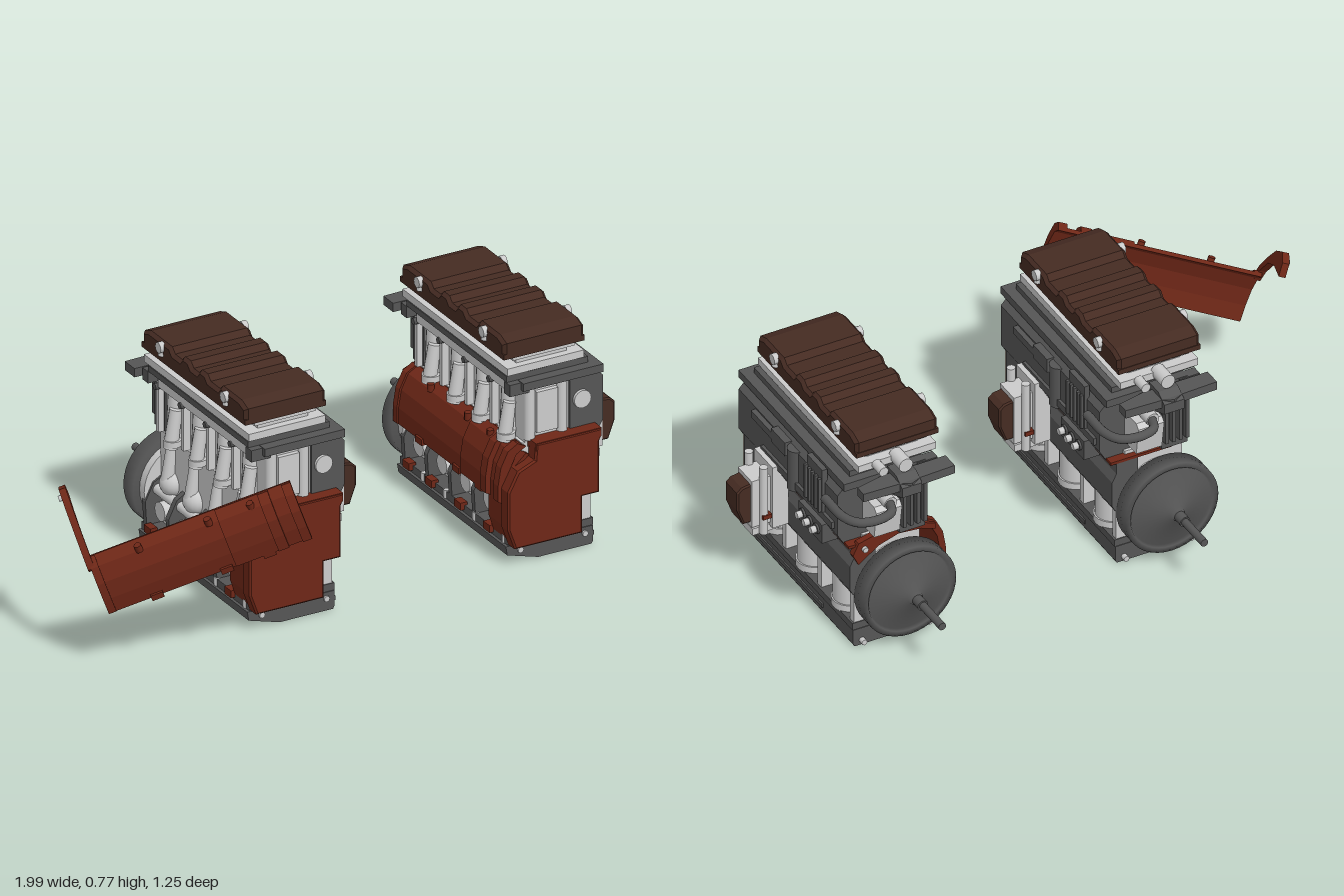
import * as THREE from 'three';

const mat = (color) => new THREE.MeshStandardMaterial({ color, side: THREE.DoubleSide });
const LIGHT = mat(0xcccccc), DARK = mat(0x555555), BROWN = mat(0x452b22), RUST = mat(0x6e2717);

function add(parent, name, geometry, material) {
  const mesh = new THREE.Mesh(geometry, material);
  mesh.name = name;
  parent.add(mesh);
  return mesh;
}

// Box given by its extents
function box(parent, name, m, [x0, x1], [y0, y1], [z0, z1]) {
  const b = add(parent, name, new THREE.BoxGeometry(x1 - x0, y1 - y0, z1 - z0), m);
  b.position.set((x0 + x1) / 2, (y0 + y1) / 2, (z0 + z1) / 2);
}

// Cylinder centred on a point; r0 is the radius at the low end of the axis
function cyl(parent, name, m, axis, [x, y, z], length, r0, r1 = r0, sides = 20) {
  const g = new THREE.CylinderGeometry(r1, r0, length, sides);
  if (axis === 'x') g.rotateZ(-Math.PI / 2);
  if (axis === 'z') g.rotateX(Math.PI / 2);
  const c = add(parent, name, g, m);
  c.position.set(x, y, z);
  return c;
}

// Outline in x,y extruded between two z values
function prism(parent, name, m, points, z0, z1, bevel = 0) {
  const shape = new THREE.Shape(points.map(([x, y]) => new THREE.Vector2(x, y)));
  const g = new THREE.ExtrudeGeometry(shape, {
    depth: z1 - z0 - 2 * bevel, bevelEnabled: bevel > 0, bevelSize: bevel,
    bevelThickness: bevel, bevelOffset: -bevel, bevelSegments: 1,
  });
  g.translate(0, 0, z0 + bevel);
  return add(parent, name, g, m);
}

// Outline in z,y extruded between two x values
function sidePrism(parent, name, m, points, x0, x1, bevel = 0) {
  const p = prism(parent, name, m, points.map(([z, y]) => [-z, y]), x0, x1, bevel);
  p.geometry.rotateY(Math.PI / 2);
}

// Curved side profile as a thin shell, pushed outward by "out"
const SIDE = [[-0.35, 0.4], [-0.385, 0.38], [-0.41, 0.33], [-0.42, 0.27], [-0.42, 0.215]];
function shell(parent, name, z0, z1, out = 0, profile = SIDE) {
  const outer = profile.map(([x, y]) => [x - out, y + out * 0.5]);
  const inner = profile.map(([x, y]) => [x + 0.014, y - 0.008]).reverse();
  prism(parent, name, RUST, [...outer, ...inner], z0, z1);
}

// Removable side cover; the bracket hooks over the flywheel
function sideCover(bracketTilt = 0) {
  const g = new THREE.Group();
  g.name = 'sideCover';
  shell(g, 'coverPanel', -0.36, 0.31);
  for (const [z0, z1, out] of [[-0.36, -0.335, 0.006], [0.06, 0.2, 0.008], [0.2, 0.235, 0.018], [0.28, 0.31, 0.016]]) {
    shell(g, 'coverBand', z0, z1, out);
  }
  for (const z of [-0.2, 0.03, 0.17]) {
    cyl(g, 'coverBolt', RUST, 'y', [-0.383, 0.39, z], 0.025, 0.012, 0.012, 8);
    box(g, 'coverTab', RUST, [-0.428, -0.41], [0.207, 0.228], [z - 0.02, z + 0.02]);
  }
  const bracket = new THREE.Group();
  bracket.name = 'coverBracket';
  bracket.position.set(-0.385, 0.375, -0.35);
  bracket.rotation.z = bracketTilt;
  g.add(bracket);
  prism(bracket, 'bracketArm', RUST, [[0, -0.015], [0.05, 0.004], [0.13, 0.012], [0.2, -0.01], [0.27, -0.06],
    [0.29, -0.02], [0.27, 0.02], [0.2, 0.038], [0.12, 0.034], [0.04, 0.022], [0, 0.006]], -0.02, 0.002);
  cyl(bracket, 'bracketBolt', LIGHT, 'z', [0.25, -0.005, -0.018], 0.025, 0.01, 0.01, 8);
  return g;
}

function topCover(e) {
  // Lid with flat ends and three cross grooves
  const pts = [[-0.34, 0.7], [0.3, 0.7], [0.3, 0.755], [0.26, 0.77]];
  for (const [front, back] of [[0.145, 0.05], [0.015, -0.055], [-0.09, -0.17]]) {
    pts.push([front, 0.77], [front - 0.018, 0.752], [back + 0.018, 0.752], [back, 0.77]);
  }
  pts.push([-0.3, 0.77], [-0.34, 0.755]);
  sidePrism(e, 'topCover', BROWN, pts, -0.41, -0.122, 0.011);
  box(e, 'topCoverRim', BROWN, [-0.41, -0.122], [0.7, 0.718], [-0.342, 0.3]);
  for (const z of [0.18, -0.22]) for (const s of [-1, 1]) {
    const x = -0.265 + s * 0.143;
    cyl(e, 'lidClamp', LIGHT, 'y', [x, 0.742, z], 0.04, 0.013, 0.01, 10);
    cyl(e, 'lidClampHead', LIGHT, 'x', [x + s * 0.005, 0.75, z], 0.018, 0.018, 0.018, 10);
  }
}

function cylinderHead(e) {
  box(e, 'headNeck', LIGHT, [-0.355, -0.175], [0.6, 0.705], [-0.31, 0.28]);
  box(e, 'headFlange', LIGHT, [-0.4, -0.127], [0.645, 0.67], [-0.345, 0.305]);
  box(e, 'headTopRim', LIGHT, [-0.375, -0.155], [0.688, 0.7], [-0.33, 0.295]);
  box(e, 'headPlate', DARK, [-0.36, -0.075], [0.595, 0.622], [-0.35, 0.335]);
  box(e, 'headLedge', DARK, [-0.4, -0.11], [0.622, 0.642], [-0.32, 0.3]);
  cyl(e, 'headPlug', LIGHT, 'z', [-0.265, 0.662, -0.365], 0.07, 0.024, 0.024, 16);
  cyl(e, 'headSensor', LIGHT, 'z', [-0.19, 0.66, -0.37], 0.05, 0.016, 0.016, 12);
  box(e, 'headBody', LIGHT, [-0.335, -0.17], [0.38, 0.6], [-0.33, 0.3]);

  // Intake side: ports, pillars and rails
  for (let i = 0; i < 4; i++) {
    const z = 0.21 - i * 0.155;
    cyl(e, 'headPillar', LIGHT, 'y', [-0.335, 0.51, z], 0.19, 0.034, 0.026, 14);
    const runner = cyl(e, 'intakeRunner', LIGHT, 'y', [-0.362, 0.455, z + 0.025], 0.13, 0.024, 0.02, 14);
    runner.rotation.z = -0.15;
    cyl(e, 'runnerFlange', LIGHT, 'y', [-0.365, 0.41, z + 0.025], 0.02, 0.03, 0.03, 14);
    cyl(e, 'headStud', DARK, 'x', [-0.35, 0.56, z - 0.07], 0.05, 0.011, 0.011, 8);
    box(e, 'headRib', LIGHT, [-0.36, -0.33], [0.4, 0.61], [z - 0.085, z - 0.07]);
  }
  box(e, 'intakeRail', LIGHT, [-0.37, -0.33], [0.565, 0.595], [-0.31, 0.29]);
  for (const z of [0.3, -0.34]) box(e, 'cornerBracket', DARK, [-0.4, -0.33], [0.58, 0.62], [z - 0.015, z + 0.02]);
  // Front face
  cyl(e, 'frontPort', LIGHT, 'z', [-0.14, 0.51, 0.305], 0.03, 0.03);
  for (const x of [-0.32, -0.205]) cyl(e, 'frontPillar', LIGHT, 'y', [x, 0.505, 0.3], 0.19, 0.018, 0.018, 12);
  box(e, 'frontBoss', LIGHT, [-0.3, -0.225], [0.43, 0.57], [0.29, 0.315]);
}

function exhaustSide(e) {
  prism(e, 'upperWall', DARK, [[-0.18, 0.38], [-0.085, 0.38], [-0.062, 0.42], [-0.062, 0.57], [-0.09, 0.6], [-0.18, 0.6]], -0.33, 0.31);
  prism(e, 'middleWall', DARK, [[-0.18, 0.2], [-0.1, 0.2], [-0.09, 0.22], [-0.09, 0.31], [-0.105, 0.34], [-0.105, 0.38], [-0.18, 0.38]], -0.36, 0.31);
  box(e, 'gasketLine', RUST, [-0.3, -0.085], [0.378, 0.388], [-0.36, 0.32]);
  box(e, 'cornerBlock', DARK, [-0.1, -0.07], [0.22, 0.45], [0.17, 0.29]);
  box(e, 'fuelBar', DARK, [-0.07, -0.045], [0.54, 0.565], [0.07, 0.2]);
  box(e, 'fuelBox', DARK, [-0.07, -0.045], [0.53, 0.58], [-0.02, 0.07]);
  cyl(e, 'wallBarrel', DARK, 'y', [-0.07, 0.5, -0.05], 0.15, 0.03, 0.03, 14);
  box(e, 'ribbedBox', DARK, [-0.07, -0.052], [0.45, 0.62], [-0.25, -0.15]);
  for (let i = 0; i < 5; i++) box(e, 'coolingRib', DARK, [-0.06, -0.042], [0.46, 0.585], [-0.245 + i * 0.022, -0.235 + i * 0.022]);
  box(e, 'lowerRail', DARK, [-0.075, -0.052], [0.435, 0.46], [-0.31, 0.15]);
  box(e, 'studPlate', DARK, [-0.1, -0.045], [0.35, 0.42], [-0.26, -0.11]);
  for (const z of [-0.14, -0.185, -0.23]) {
    cyl(e, 'plateStud', LIGHT, 'x', [-0.035, 0.39, z], 0.03, 0.012, 0.012, 8);
    cyl(e, 'plateStudCollar', DARK, 'x', [-0.044, 0.39, z], 0.012, 0.018, 0.018, 10);
  }
  // Side unit with brown cap
  box(e, 'unitBase', LIGHT, [-0.09, -0.035], [0.22, 0.45], [0.04, 0.16]);
  box(e, 'unitBody', LIGHT, [-0.05, 0.03], [0.235, 0.41], [0.055, 0.145]);
  box(e, 'unitFoot', LIGHT, [-0.075, 0.025], [0.2, 0.225], [0.06, 0.14]);
  for (const z of [0.052, 0.148]) cyl(e, 'unitPost', LIGHT, 'y', [-0.01, 0.33, z], 0.25, 0.014, 0.014, 10);
  prism(e, 'unitCap', BROWN, [[0.025, 0.25], [0.055, 0.25], [0.077, 0.31], [0.077, 0.375], [0.06, 0.39], [0.025, 0.395]], 0.062, 0.142, 0.005);
  box(e, 'unitClip', RUST, [-0.03, 0.0], [0.265, 0.28], [0.035, 0.165]);
}

function crankcase(e) {
  box(e, 'caseCore', LIGHT, [-0.345, -0.145], [0.07, 0.4], [-0.34, 0.3]);
  for (const z of [0.21, -0.02, -0.25]) {
    cyl(e, 'caseBarrel', LIGHT, 'y', [-0.15, 0.15, z], 0.12, 0.055);
    cyl(e, 'caseBarrelFoot', LIGHT, 'y', [-0.15, 0.1, z], 0.025, 0.06);
  }
  for (const z of [0.295, 0.095, -0.135, -0.345]) box(e, 'caseWeb', LIGHT, [-0.18, -0.105], [0.08, 0.2], [z - 0.012, z + 0.012]);
  // Open side: journals, rods and ribs
  for (let i = 0; i < 4; i++) {
    const z = 0.17 - i * 0.145;
    const ball = add(e, 'crankKnuckle', new THREE.SphereGeometry(0.042, 16, 12), LIGHT);
    ball.position.set(-0.345, 0.25, z);
    const rod = cyl(e, 'connectingRod', LIGHT, 'y', [-0.352, 0.33, z], 0.14, 0.022, 0.018, 12);
    rod.rotation.z = -0.15;
    cyl(e, 'caseBoss', LIGHT, 'x', [-0.365, 0.16, z], 0.05, 0.032, 0.032, 14);
    prism(e, 'caseRib', DARK, [[-0.34, 0.07], [-0.4, 0.09], [-0.405, 0.17], [-0.375, 0.23], [-0.34, 0.25]], z - 0.083, z - 0.063);
  }
  cyl(e, 'crankTube', LIGHT, 'z', [-0.36, 0.205, -0.03], 0.62, 0.018, 0.018, 12);
  // Sump and its rails
  prism(e, 'sump', DARK, [[-0.295, 0.003], [-0.105, 0.003], [-0.1, 0.012], [-0.1, 0.065], [-0.41, 0.065], [-0.405, 0.035]], -0.362, 0.313);
  box(e, 'sumpRail', DARK, [-0.4, -0.098], [0.065, 0.09], [-0.36, 0.31]);
  box(e, 'sumpStep', DARK, [-0.3, -0.095], [0.03, 0.045], [-0.17, 0.31]);
  for (const z of [0.2, 0.02, -0.16, -0.3]) {
    box(e, 'sumpTab', RUST, [-0.415, -0.39], [0.075, 0.1], [z - 0.02, z + 0.02]);
    cyl(e, 'sumpBolt', LIGHT, 'y', [-0.395, 0.075, z + 0.08], 0.035, 0.01, 0.01, 8);
  }
  for (const x of [-0.36, -0.13]) {
    cyl(e, 'sumpFrontBolt', LIGHT, 'z', [x, 0.045, 0.31], 0.02, 0.01, 0.01, 8);
    cyl(e, 'sumpRearBolt', LIGHT, 'z', [x, 0.02, -0.368], 0.025, 0.01, 0.01, 8);
  }
  // Front timing cover with its side skirt
  prism(e, 'frontCover', RUST, [[-0.325, 0.415], [-0.33, 0.36], [-0.39, 0.335], [-0.425, 0.27], [-0.425, 0.14], [-0.4, 0.07],
    [-0.16, 0.07], [-0.16, 0.195], [-0.1, 0.195], [-0.1, 0.37], [-0.092, 0.385], [-0.092, 0.415]], 0.305, 0.355, 0.006);
  shell(e, 'frontCoverSkirt', 0.22, 0.32, -0.002, [[-0.345, 0.375], [-0.395, 0.33], [-0.42, 0.27], [-0.42, 0.14], [-0.4, 0.08]]);
  box(e, 'frontCoverLip', RUST, [-0.325, -0.092], [0.385, 0.415], [0.29, 0.352]);
}

function rearEnd(e) {
  cyl(e, 'bellHousing', LIGHT, 'z', [-0.265, 0.2, -0.35], 0.03, 0.14, 0.14, 32);
  // Flywheel dish and shaft
  const pts = [[0, 0], [0.163, 0], [0.163, 0.06], [0.145, 0.06], [0.14, 0.05], [0.025, 0.095], [0.02, 0.11], [0, 0.11]];
  const wheel = new THREE.LatheGeometry(pts.map(([r, h]) => new THREE.Vector2(r, h)), 40);
  wheel.rotateX(-Math.PI / 2);
  add(e, 'flywheel', wheel, DARK).position.set(-0.265, 0.197, -0.364);
  cyl(e, 'shaftCollar', DARK, 'z', [-0.265, 0.197, -0.48], 0.06, 0.018);
  cyl(e, 'shaft', DARK, 'z', [-0.265, 0.197, -0.555], 0.16, 0.013);
  // Rear brackets, housings and hose
  sidePrism(e, 'rearBracket', DARK, [[-0.34, 0.55], [-0.34, 0.635], [-0.4, 0.635], [-0.44, 0.61], [-0.44, 0.575], [-0.38, 0.55]], -0.3, -0.23);
  const bar = prism(e, 'rearCrossbar', DARK, [[-0.425, 0.36], [-0.425, 0.42], [-0.3, 0.425], [-0.265, 0.44], [-0.23, 0.425], [-0.105, 0.42], [-0.105, 0.38], [-0.2, 0.36]], 0, 0.03);
  bar.rotation.x = -Math.PI / 2;
  bar.position.y = 0.59;
  sidePrism(e, 'rearHousing', LIGHT, [[-0.32, 0.545], [-0.405, 0.545], [-0.42, 0.53], [-0.405, 0.43], [-0.35, 0.43], [-0.32, 0.46]], -0.24, -0.15);
  box(e, 'rearBox', DARK, [-0.34, -0.25], [0.4, 0.59], [-0.385, -0.32]);
  for (let i = 0; i < 4; i++) box(e, 'rearFin', DARK, [-0.337 + i * 0.024, -0.325 + i * 0.024], [0.43, 0.585], [-0.405, -0.38]);
  cyl(e, 'hoseFitting', LIGHT, 'z', [-0.195, 0.56, -0.4], 0.06, 0.022, 0.022, 12);
  const path = [[-0.195, -0.42], [-0.175, -0.47], [-0.12, -0.487], [-0.06, -0.47], [-0.033, -0.42], [-0.03, -0.31]];
  const curve = new THREE.CatmullRomCurve3(path.map(([x, z]) => new THREE.Vector3(x, 0.56, z)));
  add(e, 'hose', new THREE.TubeGeometry(curve, 32, 0.015, 12), DARK);
  cyl(e, 'hoseEnd', DARK, 'z', [-0.03, 0.56, -0.312], 0.01, 0.0148, 0.0148, 12);
}

function engine(name) {
  const e = new THREE.Group();
  e.name = name;
  for (const build of [topCover, cylinderHead, exhaustSide, crankcase, rearEnd]) build(e);
  return e;
}

export function createModel() {
  const model = new THREE.Group();
  model.name = 'enginePair';
  const open = engine('openEngine');
  const covered = engine('coveredEngine');
  covered.position.x = 0.92;
  covered.add(sideCover());

  // Loose cover, turned and set beside the open engine
  const loose = sideCover(0.62);
  loose.name = 'looseSideCover';
  const d = new THREE.Vector3(0.864, 0.333, 0.364).normalize();
  const up = new THREE.Vector3(-0.386, 0.916, 0.078);
  const n = up.clone().cross(d).normalize();
  up.copy(d).cross(n);
  const turn = new THREE.Matrix4().makeBasis(n, up, d);
  loose.quaternion.setFromRotationMatrix(turn);
  const centre = new THREE.Vector3(-0.395, 0.308, -0.025).applyMatrix4(turn);
  loose.position.set(-0.66, 0.403, 0.455).sub(centre);

  model.add(open, covered, loose);
  return model;
}
